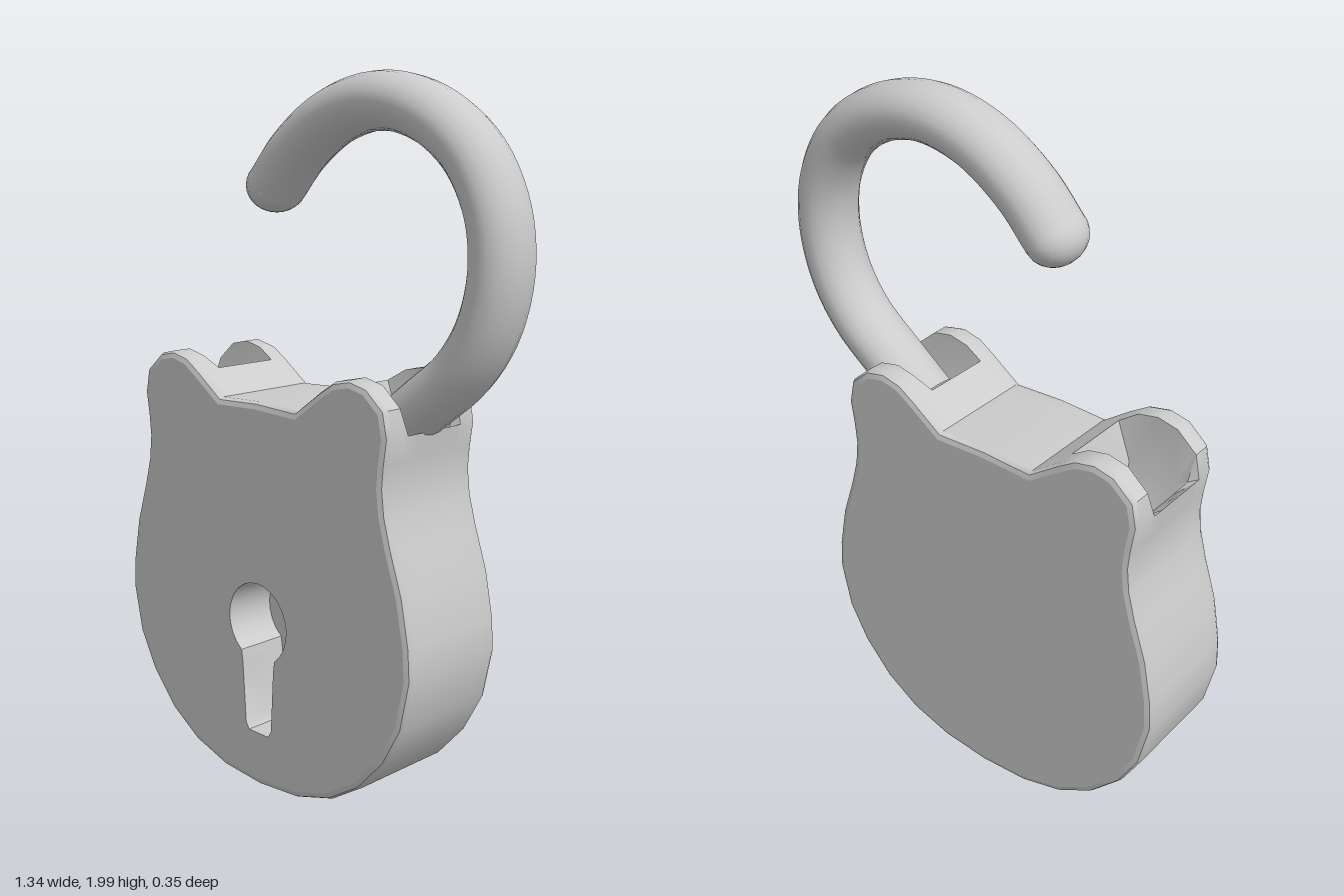
import * as THREE from 'three';
import { toCreasedNormals } from 'three/addons/utils/BufferGeometryUtils.js';

const material = new THREE.MeshStandardMaterial({ color: 0xcccccc });

function addMesh(parent, name, geometry) {
  const mesh = new THREE.Mesh(geometry, material);
  mesh.name = name;
  parent.add(mesh);
  return mesh;
}

// Skin between closed loops of [x, y], each at its own z
function loft(loops) {
  const n = loops[0].points.length;
  const positions = [];
  const index = [];
  for (const { points, z } of loops) for (const [x, y] of points) positions.push(x, y, z);
  for (let j = 0; j < loops.length - 1; j++) {
    for (let i = 0; i < n; i++) {
      const k = (i + 1) % n;
      const a = j * n + i, b = j * n + k, c = b + n, d = a + n;
      index.push(a, b, c, a, c, d);
    }
  }
  const geometry = new THREE.BufferGeometry();
  geometry.setAttribute('position', new THREE.Float32BufferAttribute(positions, 3));
  geometry.setIndex(index);
  return toCreasedNormals(geometry, 0.62);
}

// Right half, bottom centre to top centre, mirrored to a closed loop
function mirrorLoop(half) {
  const left = half.slice(1, -1).reverse().map(([x, y]) => [-x, y]);
  return [...half, ...left];
}

function inset(points, amount) {
  const n = points.length;
  return points.map(([x, y], i) => {
    const p = points[(i + n - 1) % n], q = points[(i + 1) % n];
    const tx = q[0] - p[0], ty = q[1] - p[1], l = Math.hypot(tx, ty);
    return [x - (ty / l) * amount, y + (tx / l) * amount];
  });
}

const toVectors = (points) => points.map(([x, y]) => new THREE.Vector2(x, y));

// Body outline, split so the ear points can sink into a socket
const flank = [
  [0, 0.008], [0.15, 0.02], [0.28, 0.06], [0.39, 0.13], [0.48, 0.23], [0.54, 0.34],
  [0.57, 0.48], [0.565, 0.57], [0.54, 0.7], [0.5, 0.82], [0.478, 0.9], [0.47, 0.97],
  [0.475, 1.03], [0.485, 1.1],
];
const earTop = [[0.47, 1.17], [0.41, 1.222], [0.35, 1.235], [0.29, 1.222]];
const socketWall = [[0.46, 1.09], [0.42, 1.06], [0.35, 1.05], [0.28, 1.08]];
const socketFloor = [[0.44, 1.06], [0.41, 0.98], [0.35, 0.98], [0.29, 0.98]];
const brow = [[0.24, 1.19], [0.15, 1.125], [0, 1.132]];

function keyholePoints() {
  const points = [];
  const start = -0.95, end = Math.PI + 0.95;
  for (let i = 0; i <= 20; i++) {
    const t = start + ((end - start) * i) / 20;
    points.push([0.117 * Math.cos(t), 0.5 + 0.117 * Math.sin(t)]);
  }
  points.push([-0.063, 0.37], [-0.052, 0.19], [-0.04, 0.17], [0.04, 0.17], [0.052, 0.19], [0.063, 0.37]);
  return points;
}

function createBody() {
  const body = new THREE.Group();
  body.name = 'body';
  const full = mirrorLoop([...flank, ...earTop, ...brow]);
  const wall = mirrorLoop([...flank, ...socketWall, ...brow]);
  const floor = mirrorLoop([...flank, ...socketFloor, ...brow]);
  const face = inset(full, 0.02);
  const frontHalf = [
    { points: floor, z: 0.06 }, { points: wall, z: 0.095 }, { points: full, z: 0.11 },
    { points: full, z: 0.157 }, { points: inset(full, 0.006), z: 0.17 }, { points: face, z: 0.175 },
  ];
  const backHalf = frontHalf.map(({ points, z }) => ({ points, z: -z })).reverse();
  addMesh(body, 'rimWithSockets', loft([...backHalf, ...frontHalf]));

  // Front face with the keyhole cut out, plain back face
  const keyhole = keyholePoints();
  const frontShape = new THREE.Shape(toVectors(face));
  frontShape.holes.push(new THREE.Path(toVectors(keyhole)));
  addMesh(body, 'frontFace', new THREE.ShapeGeometry(frontShape)).position.z = 0.175;
  const back = addMesh(body, 'backFace', new THREE.ShapeGeometry(new THREE.Shape(toVectors(face))));
  back.position.z = -0.175;
  back.rotation.y = Math.PI;

  // Keyhole recess
  const depthZ = 0.02;
  addMesh(body, 'keyholeWall', loft([{ points: keyhole, z: 0.175 }, { points: keyhole, z: depthZ }]));
  const keyholeShape = new THREE.Shape(toVectors(keyhole));
  addMesh(body, 'keyholeFloor', new THREE.ShapeGeometry(keyholeShape)).position.z = depthZ;
  return body;
}

// Open shackle, swung out of the left socket
function createShackle() {
  const shackle = new THREE.Group();
  shackle.name = 'shackle';
  const path = [
    [-0.193, 1.705], [-0.1, 1.802], [0.04, 1.89], [0.2, 1.925], [0.36, 1.892], [0.495, 1.8],
    [0.572, 1.67], [0.592, 1.53], [0.56, 1.385], [0.485, 1.268], [0.36, 1.165], [0.25, 1.08],
  ].map(([x, y]) => new THREE.Vector3(x, y, 0));
  const radius = 0.075, widen = 1.24;
  const tube = new THREE.TubeGeometry(new THREE.CatmullRomCurve3(path), 56, radius, 20);
  addMesh(shackle, 'shackleBar', tube.scale(1, 1, widen));
  const tip = new THREE.SphereGeometry(radius, 20, 14).scale(1, 1, widen);
  addMesh(shackle, 'shackleTip', tip).position.copy(path[0]);
  return shackle;
}

export function createModel() {
  const model = new THREE.Group();
  model.name = 'padlock';
  const body = createBody();
  body.position.x = -0.1;
  model.add(body, createShackle());
  return model;
}
